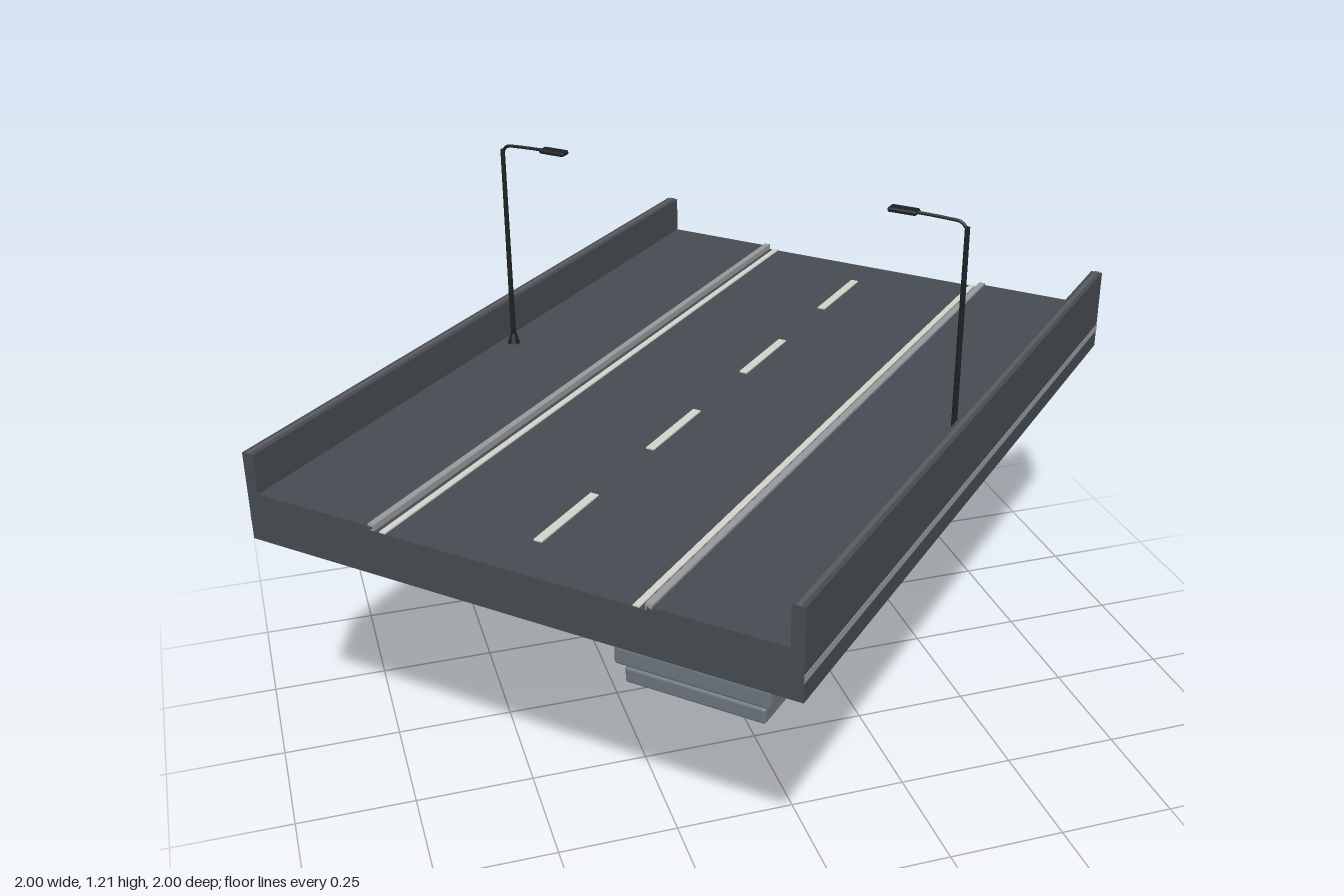
import * as THREE from 'three';
import { RoundedBoxGeometry } from 'three/addons/geometries/RoundedBoxGeometry.js';
import { toCreasedNormals } from 'three/addons/utils/BufferGeometryUtils.js';

const material = (name, color) => {
  const m = new THREE.MeshStandardMaterial({ color });
  m.name = name;
  return m;
};

export function createModel() {
  const asphalt = material('asphalt', 0x454b50);
  const paint = material('road paint', 0xd0d1c8);
  const kerbGrey = material('kerb grey', 0x95979a);
  const concrete = material('pier concrete', 0xa4a6ae);
  const footingGrey = material('footing grey', 0x6a737b);
  const trim = material('parapet trim', 0x5a595d);
  const lampBlack = material('lamp black', 0x1d2123);

  const model = new THREE.Group();
  model.name = 'roadBridge';
  // Local x runs across the road and local z along it
  const bridge = new THREE.Group();
  bridge.name = 'bridge';
  bridge.rotation.y = -Math.PI / 4;
  model.add(bridge);

  const L = 1.655, W = 0.587;
  const add = (name, geo, mat, x = 0, y = 0, z = 0, parent = bridge) => {
    const mesh = new THREE.Mesh(geo, mat);
    mesh.name = name;
    mesh.position.set(x, y, z);
    parent.add(mesh);
    return mesh;
  };
  const box = (name, w, h, d, mat, x, y, z, parent) =>
    add(name, new THREE.BoxGeometry(w, h, d), mat, x, y, z, parent);

  // Deck: one section with parapets, pavements and a shallow carriageway
  const half = [[W, 0.638], [W, 0.825], [W - 0.026, 0.825], [W - 0.026, 0.741], [0.29, 0.741], [0.29, 0.733]];
  const outline = [...half, ...half.map(([x, y]) => [-x, y]).reverse()];
  const deckShape = new THREE.Shape(outline.map(([x, y]) => new THREE.Vector2(x, y)));
  const deck = new THREE.ExtrudeGeometry(deckShape, { depth: L, bevelEnabled: false });
  add('deck', deck, asphalt, 0, 0, -L / 2);

  // Kerbs, edge lines and parapet stripes on both sides
  for (const s of [-1, 1]) {
    box('kerb', 0.014, 0.013, L, kerbGrey, s * 0.294, 0.7395, 0);
    box('edgeLine', 0.013, 0.003, L, paint, s * 0.269, 0.7345, 0);
    box('sideStripe', 0.002, 0.016, L, kerbGrey, s * W, 0.686, 0);
    box('parapetTrim', 0.01, 0.002, L, trim, s * (W - 0.013), 0.8255, 0);
  }

  // Centre dashes
  for (const z of [-0.62, -0.207, 0.207, 0.62]) {
    box('centreDash', 0.018, 0.003, 0.2, paint, 0, 0.7345, z);
  }

  // Footing in two rounded tiers
  add('lowerFooting', new RoundedBoxGeometry(0.365, 0.043, 0.265, 3, 0.008), footingGrey, 0, 0.0215, 0);
  box('footingNeck', 0.345, 0.02, 0.245, footingGrey, 0, 0.05, 0);
  add('upperFooting', new RoundedBoxGeometry(0.405, 0.052, 0.295, 3, 0.009), footingGrey, 0, 0.081, 0);

  // Lofts rounded rectangles [y, half width, half depth, corner radius] with closed ends
  const loft = (sections) => {
    const n = 8, count = 4 * (n + 1);
    const pos = [], index = [];
    for (const [y, a, b, r] of sections) {
      for (let q = 0; q < 4; q++) {
        const sx = q === 0 || q === 3 ? 1 : -1, sz = q < 2 ? 1 : -1;
        for (let i = 0; i <= n; i++) {
          const t = (q + i / n) * Math.PI / 2;
          pos.push(sx * (a - r) + r * Math.cos(t), y, sz * (b - r) + r * Math.sin(t));
        }
      }
    }
    for (let s = 0; s < sections.length - 1; s++) {
      for (let i = 0; i < count; i++) {
        const p = s * count + i, q = s * count + (i + 1) % count;
        index.push(p, p + count, q, q, p + count, q + count);
      }
    }
    const top = (sections.length - 1) * count;
    for (let i = 1; i < count - 1; i++) {
      index.push(0, i, i + 1, top, top + i + 1, top + i);
    }
    const g = new THREE.BufferGeometry();
    g.setAttribute('position', new THREE.Float32BufferAttribute(pos, 3));
    g.setIndex(index);
    return toCreasedNormals(g, 0.5);
  };

  // Pier column and flared head
  add('column', loft([[0.1, 0.11, 0.065, 0.064], [0.56, 0.11, 0.065, 0.064]]), concrete);
  add('pierHead', loft([
    [0.548, 0.11, 0.065, 0.05], [0.575, 0.175, 0.085, 0.04],
    [0.605, 0.24, 0.105, 0.03], [0.64, 0.285, 0.122, 0.02],
  ]), concrete);

  // Street lamps, one on each pavement, reaching over the road
  for (const s of [-1, 1]) {
    const lamp = new THREE.Group();
    lamp.name = 'streetLamp';
    lamp.position.set(s * 0.53, 0.74, 0);
    lamp.rotation.y = s > 0 ? Math.PI : 0;
    bridge.add(lamp);
    add('lampBase', new THREE.CylinderGeometry(0.007, 0.014, 0.024, 12), lampBlack, 0, 0.012, 0, lamp);
    add('lampPost', new THREE.CylinderGeometry(0.005, 0.006, 0.455, 10), lampBlack, 0, 0.2275, 0, lamp);
    const path = new THREE.CatmullRomCurve3([
      new THREE.Vector3(0, 0.45, 0), new THREE.Vector3(0.012, 0.463, 0),
      new THREE.Vector3(0.04, 0.466, 0), new THREE.Vector3(0.11, 0.468, 0),
    ]);
    add('lampArm', new THREE.TubeGeometry(path, 16, 0.0035, 8), lampBlack, 0, 0, 0, lamp);
    add('lampHead', new RoundedBoxGeometry(0.06, 0.01, 0.026, 2, 0.004), lampBlack, 0.131, 0.468, 0, lamp);
  }
  return model;
}
